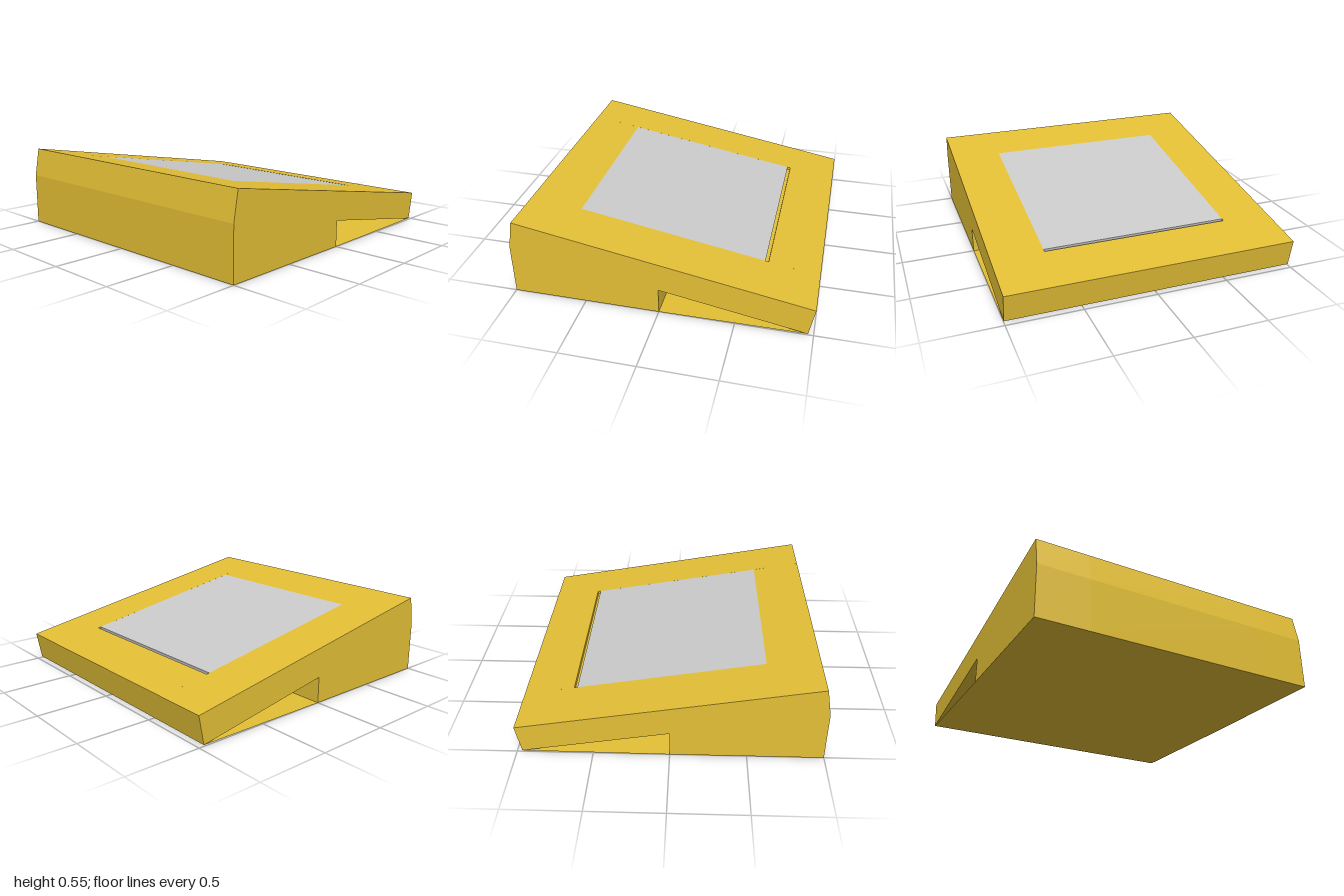
import * as THREE from 'three';

export function createModel() {
  const group = new THREE.Group();
  const yellow = new THREE.MeshStandardMaterial({ color: 0xe4c036 });
  const yellowThin = new THREE.MeshStandardMaterial({ color: 0xe4c036, side: THREE.DoubleSide });
  const grey = new THREE.MeshStandardMaterial({ color: 0xcccccc });

  // Extrudes a side profile (x, y) from z0 to z1
  function section(name, points, z0, z1, material) {
    const shape = new THREE.Shape(points.map(([x, y]) => new THREE.Vector2(x, y)));
    const geometry = new THREE.ExtrudeGeometry(shape, { depth: z1 - z0, bevelEnabled: false });
    geometry.translate(0, 0, z0);
    const mesh = new THREE.Mesh(geometry, material);
    mesh.name = name;
    group.add(mesh);
  }

  const lowEnd = [[0.965, 0.008], [1, 0.2]];
  const highEnd = [[-0.965, 0.549], [-1, 0.355]];

  // Sides of the wedge: sloping slab on a half-length base
  const side = [[-1, 0], [0, 0], [0, 0.178], ...lowEnd, ...highEnd];
  section('leftSide', side, 0.65, 1, yellow);
  section('rightSide', side, -1, -0.65, yellow);

  // Middle of the wedge: recess for the panel on top, cavity under the slab
  section('middle', [
    [-1, 0], [-0.5, 0], [-0.5, 0.266], [0, 0.178], ...lowEnd,
    [0.657, 0.261], [0.6535, 0.241], [-0.6265, 0.468], [-0.623, 0.488],
    ...highEnd,
  ], -0.65, 0.65, yellow);

  // Flush panel, leaving a narrow gap at its low end
  section('panel', [[-0.6265, 0.468], [0.632, 0.2447], [0.6355, 0.2647], [-0.623, 0.488]],
    -0.65, 0.65, grey);

  // Thin sheet closing the underside
  function sheet(name, x0, y0, x1, y1, width) {
    const geometry = new THREE.PlaneGeometry(Math.hypot(x1 - x0, y1 - y0), width);
    geometry.rotateX(-Math.PI / 2);
    geometry.rotateZ(Math.atan2(y1 - y0, x1 - x0));
    const mesh = new THREE.Mesh(geometry, yellowThin);
    mesh.position.set((x0 + x1) / 2, (y0 + y1) / 2, 0);
    mesh.name = name;
    group.add(mesh);
  }
  sheet('floorSheet', 0, 0, 0.965, 0.008, 2);
  sheet('cavityFloor', -0.5, 0, 0, 0, 1.3);

  return group;
}
